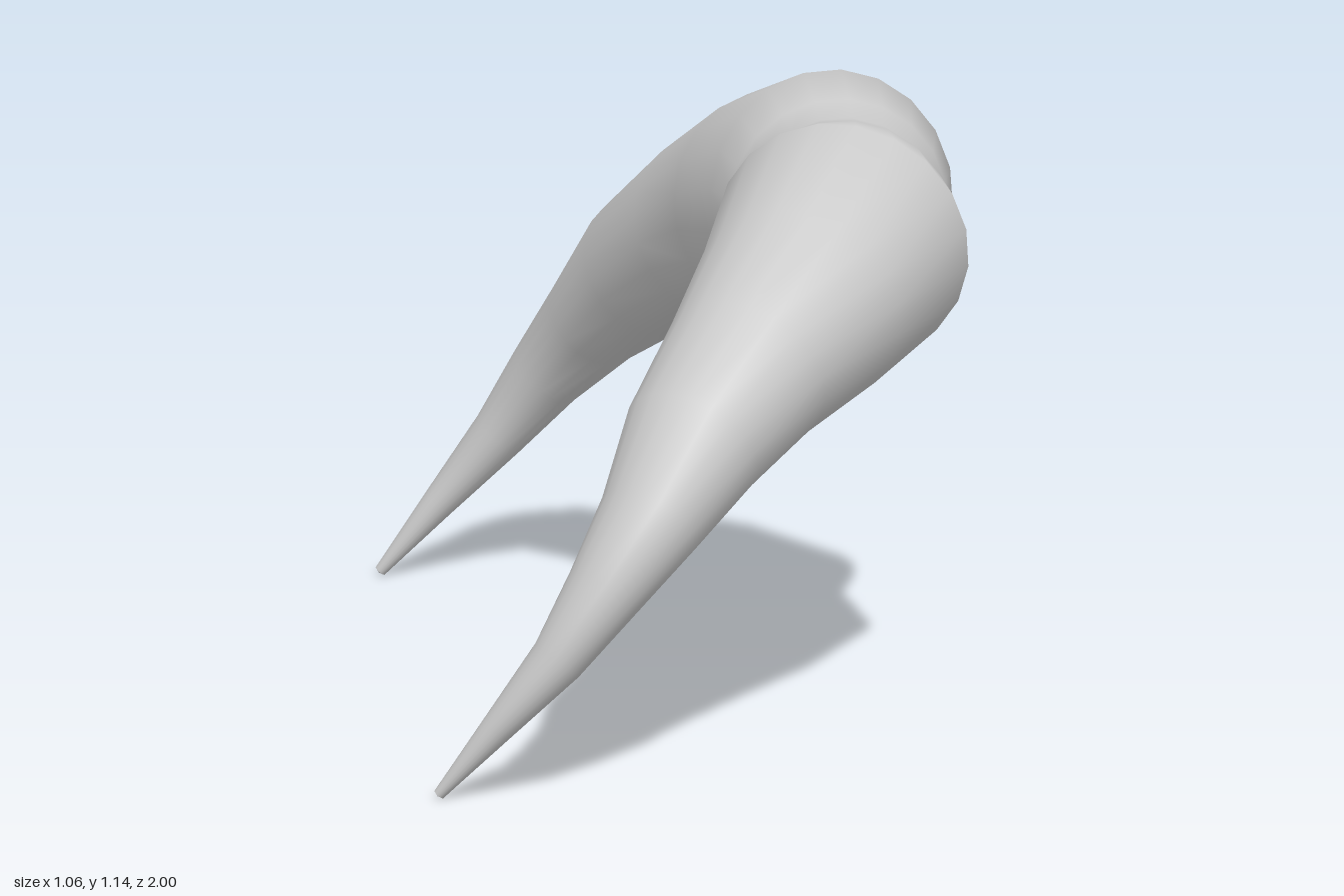
import * as THREE from 'three';

// Stations from the middle of the bow to one tip:
// x, y, z of the centre, radius in the plane of the bend, radius across it
const HALF = [
  [0.298, 0.907, 0, 0.193, 0.193],
  [0.296, 0.906, 0.08, 0.21, 0.21],
  [0.29, 0.9, 0.18, 0.246, 0.246],
  [0.19, 0.835, 0.43, 0.217, 0.207],
  [0.08, 0.75, 0.6, 0.18, 0.167],
  [-0.03, 0.64, 0.735, 0.152, 0.138],
  [-0.12, 0.515, 0.852, 0.118, 0.1],
  [-0.21, 0.395, 0.91, 0.09, 0.074],
  [-0.3, 0.27, 0.937, 0.063, 0.052],
  [-0.415, 0.137, 0.934, 0.036, 0.031],
  [-0.525, 0.008, 0.928, 0.012, 0.011],
  [-0.527, 0.005, 0.928, 0, 0],
];
const SIDES = 20;

// Sweeps oval sections along the stations and closes both tips
function hornGeometry(stations) {
  const centres = stations.map(([x, y, z]) => new THREE.Vector3(x, y, z));
  const last = stations.length - 1;
  const positions = [];
  const index = [];
  stations.forEach(([, , , inPlane, across], i) => {
    const tangent = centres[Math.min(i + 1, last)].clone()
      .sub(centres[Math.max(i - 1, 0)]).normalize();
    const side = new THREE.Vector3(0.74, -0.67, 0);
    side.addScaledVector(tangent, -side.dot(tangent)).normalize();
    const outward = new THREE.Vector3().crossVectors(tangent, side);
    for (let j = 0; j < SIDES; j++) {
      const a = (j / SIDES) * Math.PI * 2;
      const p = centres[i].clone()
        .addScaledVector(side, across * Math.cos(a))
        .addScaledVector(outward, inPlane * Math.sin(a));
      positions.push(p.x, Math.max(p.y, 0), p.z);
      if (i < last) {
        const k = (j + 1) % SIDES;
        const p0 = i * SIDES + j, p1 = i * SIDES + k;
        index.push(p0, p1, p1 + SIDES, p0, p1 + SIDES, p0 + SIDES);
      }
    }
  });
  const geometry = new THREE.BufferGeometry();
  geometry.setAttribute('position', new THREE.Float32BufferAttribute(positions, 3));
  geometry.setIndex(index);
  geometry.computeVertexNormals();
  return geometry;
}

export function createModel() {
  const group = new THREE.Group();
  group.name = 'hornPair';

  // Both horns form one smooth skin, mirrored front to back
  const mirrored = HALF.slice(1).reverse().map(([x, y, z, a, b]) => [x, y, -z, a, b]);
  const horns = new THREE.Mesh(
    hornGeometry([...mirrored, ...HALF]),
    new THREE.MeshStandardMaterial({ color: 0xcccccc }),
  );
  horns.name = 'horns';
  group.add(horns);
  return group;
}
